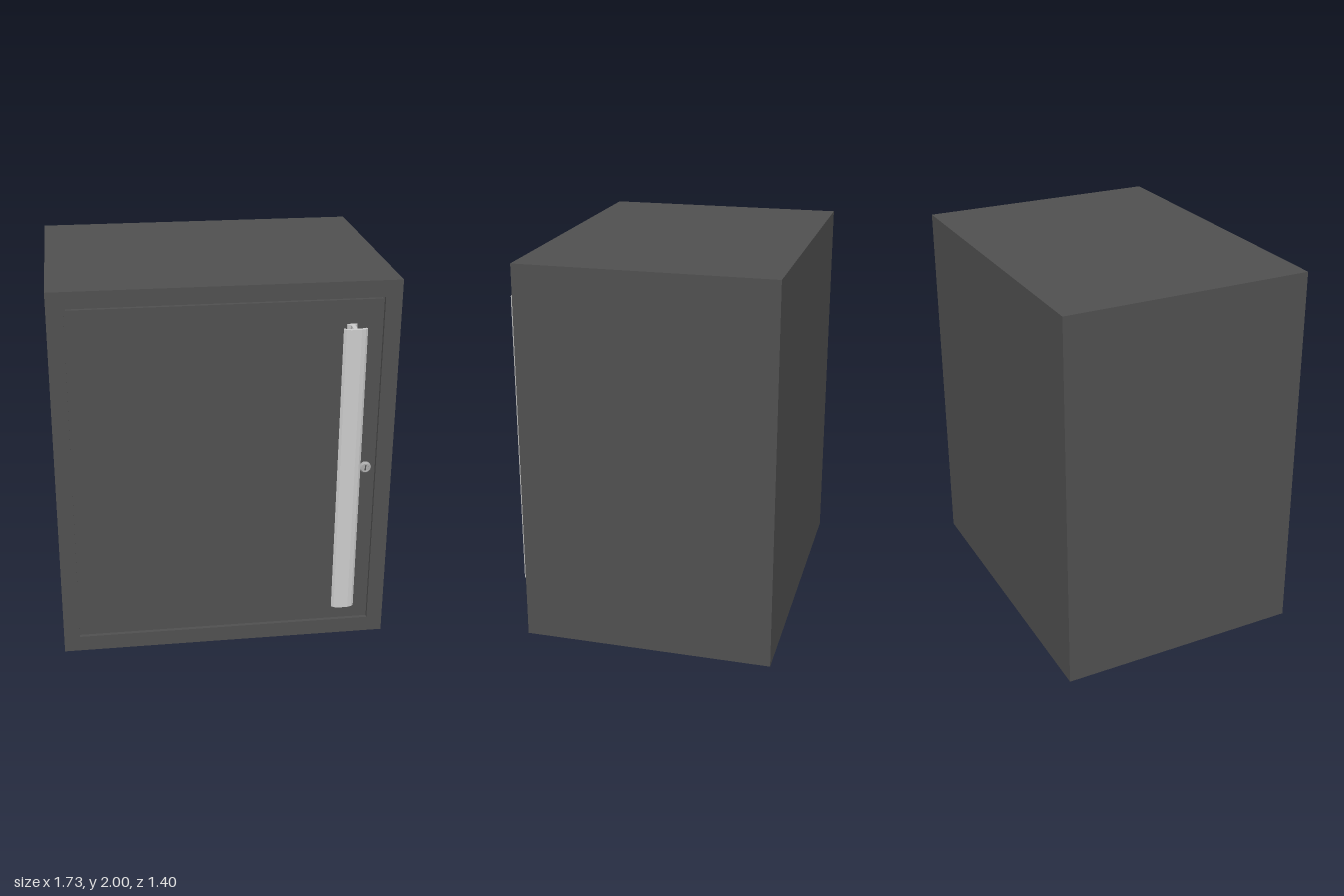
import * as THREE from 'three';

const W = 1.734, H = 2, BACK = -0.70, FRONT = 0.603, RECESS = 0.02;
const dark = new THREE.MeshStandardMaterial({ color: 0x505050 });
const metal = new THREE.MeshStandardMaterial({ color: 0xcccccc });
const lockMetal = new THREE.MeshStandardMaterial({ color: 0xaaaaaa });

function add(parent, name, geometry, material, x = 0, y = 0, z = 0) {
  const mesh = new THREE.Mesh(geometry, material);
  mesh.name = name;
  mesh.position.set(x, y, z);
  parent.add(mesh);
  return mesh;
}

// Rectangle outline centred on the origin
function rect(PathType, w, h) {
  return new PathType([[-1, -1], [1, -1], [1, 1], [-1, 1]]
    .map(([x, y]) => new THREE.Vector2(x * w / 2, y * h / 2)));
}

// Bar pull: constant T section with swept-back wings, extruded upwards
function makeHandle() {
  const half = [ // offset across, distance out from the door
    [0.025, 0], [0.025, 0.007], [0.011, 0.019], [0.010, 0.074],
    [0.030, 0.076], [0.056, 0.069], [0.060, 0.080], [0.048, 0.090], [0.026, 0.097],
  ];
  const outline = [...half, ...half.map(([x, d]) => [-x, d]).reverse()];
  const shape = new THREE.Shape(outline.map(([x, d]) => new THREE.Vector2(x, -d)));
  const geometry = new THREE.ExtrudeGeometry(shape, { depth: 1.565, bevelEnabled: false });
  return geometry.rotateX(-Math.PI / 2);
}

// Round lock with a raised rim, a recessed plug and a key slot
function makeLock() {
  const lock = new THREE.Group();
  lock.name = 'lock';
  const rim = [[0.030, 0], [0.030, 0.010], [0.024, 0.018], [0.019, 0.018], [0.018, 0.014], [0, 0.014]]
    .map(([r, d]) => new THREE.Vector2(r, d));
  const body = new THREE.LatheGeometry(rim, 32).rotateX(Math.PI / 2).toNonIndexed();
  body.computeVertexNormals();
  add(lock, 'lockCylinder', body, lockMetal);
  add(lock, 'keySlot', new THREE.BoxGeometry(0.007, 0.028, 0.004), dark, 0, 0, 0.0135);
  return lock;
}

export function createModel() {
  const model = new THREE.Group();
  model.name = 'cabinet';

  // Carcass, with the front frame standing proud around the door
  const depth = FRONT - RECESS - BACK;
  add(model, 'carcass', new THREE.BoxGeometry(W, H, depth), dark, 0, H / 2, BACK + depth / 2);
  const frame = rect(THREE.Shape, W, H);
  frame.holes.push(rect(THREE.Path, 1.566, 1.83));
  add(model, 'frontFrame', new THREE.ExtrudeGeometry(frame, { depth: RECESS, bevelEnabled: false }),
    dark, 0, H / 2, FRONT - RECESS);

  // Flush door, separated from the frame by a narrow gap
  const door = new THREE.Group();
  door.name = 'door';
  model.add(door);
  add(door, 'doorPanel', new THREE.BoxGeometry(1.546, 1.81, RECESS), dark, 0, 1.003, FRONT - RECESS / 2);
  add(door, 'handle', makeHandle(), metal, 0.62, 0.22, FRONT);

  const lock = makeLock();
  lock.position.set(0.725, 1.003, FRONT);
  door.add(lock);
  return model;
}
